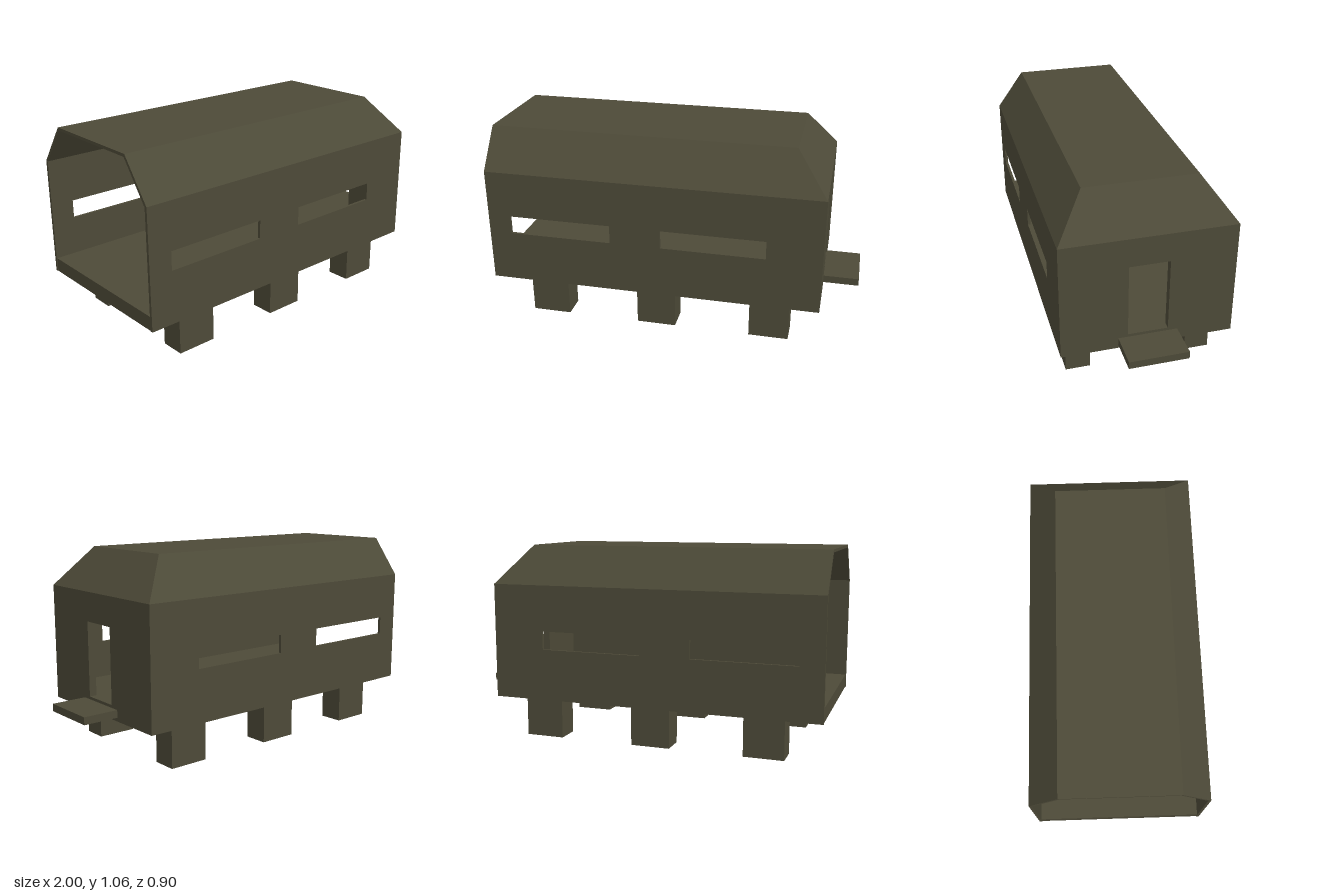
import * as THREE from 'three';

const olive = new THREE.MeshStandardMaterial({ color: 0x4d4a38 });
olive.name = 'olive drab';

const BACK = -1, FRONT = 0.81, BASE = 0.22, EAVE = 0.85, HALF = 0.45, SKIN = 0.015;

function add(group, name, geometry) {
  const mesh = new THREE.Mesh(geometry, olive);
  mesh.name = name;
  group.add(mesh);
  return mesh;
}

// Box given by its minimum and maximum along each axis
function block(group, name, [x0, x1], [y0, y1], [z0, z1]) {
  const mesh = add(group, name, new THREE.BoxGeometry(x1 - x0, y1 - y0, z1 - z0));
  mesh.position.set((x0 + x1) / 2, (y0 + y1) / 2, (z0 + z1) / 2);
}

function rectangle(path, x0, x1, y0, y1) {
  path.moveTo(x0, y0);
  path.lineTo(x1, y0);
  path.lineTo(x1, y1);
  path.lineTo(x0, y1);
  path.closePath();
  return path;
}

// Upright wall with rectangular openings
function wallGeometry(x0, x1, y0, y1, openings, depth) {
  const shape = rectangle(new THREE.Shape(), x0, x1, y0, y1);
  for (const o of openings) shape.holes.push(rectangle(new THREE.Path(), ...o));
  return new THREE.ExtrudeGeometry(shape, { depth, bevelEnabled: false });
}

// Four-cornered slab; outer corners run counter-clockwise seen from outside
function slabGeometry(outer, inner) {
  const pos = [];
  const quad = (a, b, c, d) => pos.push(...a, ...b, ...c, ...a, ...c, ...d);
  quad(...outer);
  quad(...[...inner].reverse());
  for (let i = 0; i < 4; i++) {
    const j = (i + 1) % 4;
    quad(outer[i], inner[i], inner[j], outer[j]);
  }
  const geometry = new THREE.BufferGeometry();
  geometry.setAttribute('position', new THREE.Float32BufferAttribute(pos, 3));
  geometry.computeVertexNormals();
  return geometry;
}

export function createModel() {
  const model = new THREE.Group();
  model.name = 'shelter';

  // Floor, just short of the open end
  block(model, 'floor', [BACK + 0.003, FRONT - 0.01], [BASE, 0.295], [-HALF + 0.005, HALF - 0.005]);

  // Long walls with two slit windows each
  const windows = [[-0.875, -0.315, 0.5, 0.6], [-0.04, 0.52, 0.5, 0.6]];
  for (const side of [1, -1]) {
    const wall = add(model, side > 0 ? 'frontWall' : 'backWall',
      wallGeometry(BACK, FRONT, BASE, EAVE, windows, SKIN));
    wall.position.z = side > 0 ? HALF - SKIN : -HALF;
  }

  // End wall with the doorway
  const endWall = add(model, 'doorWall',
    wallGeometry(-HALF + SKIN, HALF - SKIN, BASE, EAVE, [[-0.105, 0.105, 0.295, 0.695]], 0.04));
  endWall.rotation.y = Math.PI / 2;
  endWall.position.x = FRONT - 0.04;

  // Roof corners: eave and ridge on the outer and inner skin
  const skins = [
    { eaveX: FRONT, eaveZ: HALF, topX: 0.64, topZ: 0.295, topY: 1.06 },
    { eaveX: FRONT - 0.019, eaveZ: HALF - 0.019, topX: 0.633, topZ: 0.288, topY: 1.06 - SKIN },
  ];
  const slab = (name, corners) => add(model, name, slabGeometry(...skins.map(corners)));
  slab('roofTop', s => [
    [BACK, s.topY, s.topZ], [s.topX, s.topY, s.topZ],
    [s.topX, s.topY, -s.topZ], [BACK, s.topY, -s.topZ]]);
  slab('roofHip', s => [
    [s.eaveX, EAVE, s.eaveZ], [s.eaveX, EAVE, -s.eaveZ],
    [s.topX, s.topY, -s.topZ], [s.topX, s.topY, s.topZ]]);
  for (const side of [1, -1]) {
    slab(side > 0 ? 'frontRoofSlope' : 'backRoofSlope', s => {
      const corners = [
        [BACK, EAVE, side * s.eaveZ], [s.eaveX, EAVE, side * s.eaveZ],
        [s.topX, s.topY, side * s.topZ], [BACK, s.topY, side * s.topZ]];
      return side > 0 ? corners : corners.reverse();
    });
  }

  // Doorstep
  block(model, 'doorstep', [FRONT, 1], [0.24, 0.28], [-0.155, 0.155]);

  // Six stub legs
  for (const x of [-0.695, -0.08, 0.545]) {
    for (const z of [-0.33, 0.33]) {
      block(model, 'leg', [x - 0.107, x + 0.107], [0, BASE], [z - 0.066, z + 0.066]);
    }
  }
  return model;
}
